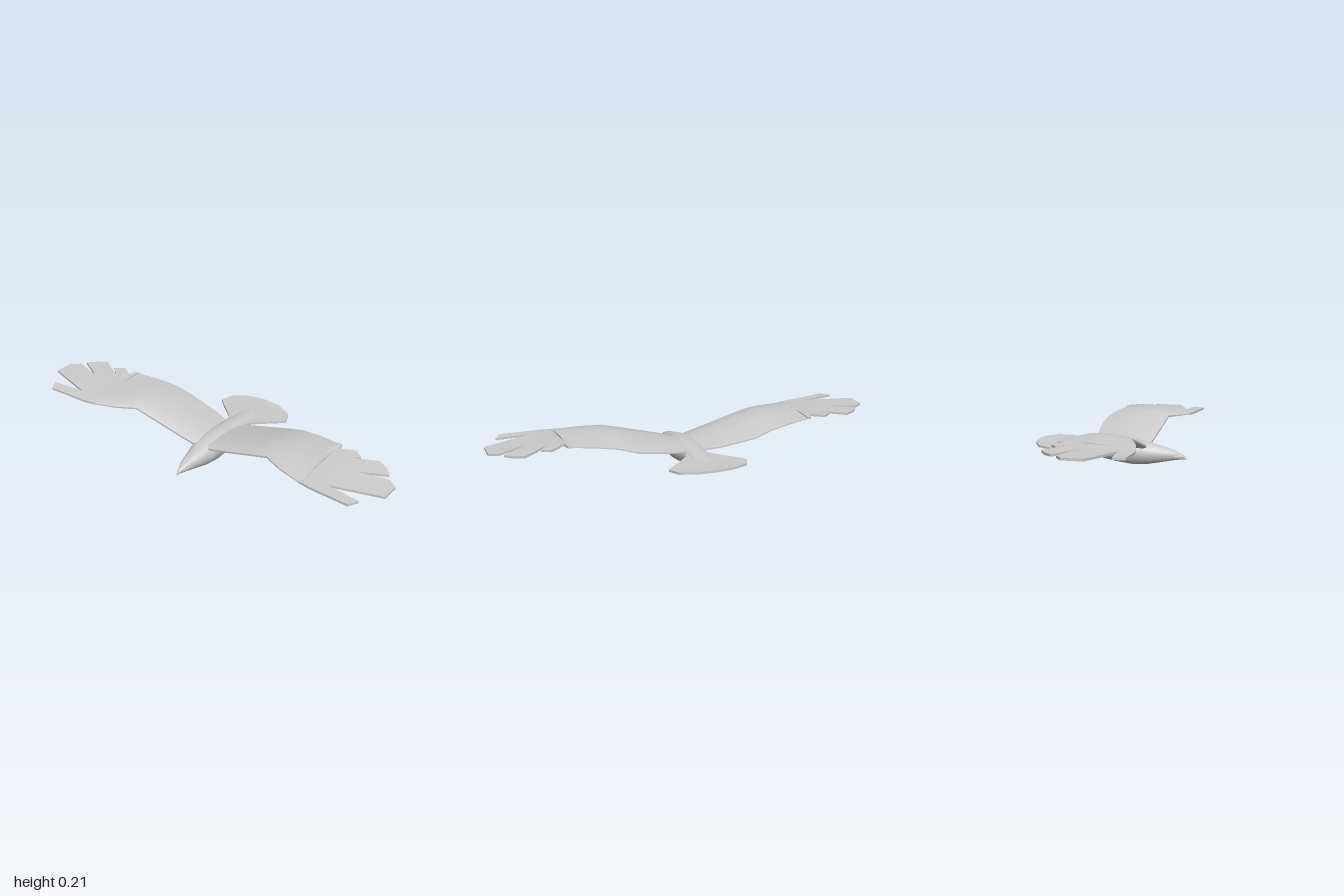
import * as THREE from 'three';
import { toCreasedNormals } from 'three/addons/utils/BufferGeometryUtils.js';

const material = new THREE.MeshStandardMaterial({ color: 0xcccccc });

function part(name, geometry, crease = 0.7) {
  const mesh = new THREE.Mesh(toCreasedNormals(geometry, crease), material);
  mesh.name = name;
  return mesh;
}

// Skin over closed rings of [x, y, z] points, capped at both ends
function loft(rings, flip = false) {
  const n = rings[0].length, last = (rings.length - 1) * n, index = [];
  const tri = (a, b, c) => (flip ? index.push(a, c, b) : index.push(a, b, c));
  for (let i = 0; i < rings.length - 1; i++) {
    for (let j = 0; j < n; j++) {
      const a = i * n + j, b = i * n + (j + 1) % n;
      tri(a, b, a + n);
      tri(b, b + n, a + n);
    }
  }
  for (let j = 1; j < n - 1; j++) {
    tri(0, j + 1, j);
    tri(last, last + j, last + j + 1);
  }
  const geometry = new THREE.BufferGeometry();
  geometry.setAttribute('position', new THREE.Float32BufferAttribute(rings.flat(2), 3));
  geometry.setIndex(index);
  geometry.computeVertexNormals();
  return geometry;
}

// Thin plate from an outline of [x, z], lifted to the height given by rule(x, z)
function plate(outline, thickness, rule) {
  const shape = new THREE.Shape(outline.map(([x, z]) => new THREE.Vector2(x, z)));
  const geometry = new THREE.ExtrudeGeometry(shape, { depth: thickness, bevelEnabled: false });
  geometry.rotateX(Math.PI / 2).translate(0, thickness / 2, 0);
  const p = geometry.attributes.position;
  for (let i = 0; i < p.count; i++) p.setY(i, p.getY(i) + rule(p.getX(i), p.getZ(i)));
  geometry.computeVertexNormals();
  return geometry;
}

// Body stations from tail to beak: z, bottom, top, half width
const bodyStations = [
  [-0.3, 0.09, 0.104, 0.05], [-0.2, 0.07, 0.112, 0.052], [-0.12, 0.048, 0.12, 0.056],
  [-0.05, 0.028, 0.126, 0.064], [0.03, 0.013, 0.13, 0.07], [0.11, 0.002, 0.128, 0.072],
  [0.19, 0.006, 0.113, 0.06], [0.25, 0.017, 0.097, 0.045], [0.31, 0.028, 0.082, 0.029],
  [0.335, 0.032, 0.069, 0.02], [0.362, 0.034, 0.06, 0.01], [0.385, 0.034, 0.037, 0.002],
];

function bodyRing([z, bottom, top, w]) {
  const ring = [], n = 14, soft = v => Math.sign(v) * Math.abs(v) ** 0.8;
  for (let i = 0; i < n; i++) {
    const a = (i / n) * Math.PI * 2;
    ring.push([w * soft(Math.cos(a)), (top + bottom) / 2 + (top - bottom) / 2 * soft(Math.sin(a)), z]);
  }
  return ring;
}

// Wing stations: x, leading z, leading y, trailing z, trailing y, camber, thickness
const wingStations = [
  [0.0, 0.185, 0.09, -0.09, 0.1, 0.005, 0.03],
  [0.06, 0.188, 0.103, -0.092, 0.11, 0.008, 0.032],
  [0.12, 0.192, 0.118, -0.112, 0.118, 0.01, 0.032],
  [0.305, 0.2, 0.167, -0.138, 0.152, 0.018, 0.03],
  [0.4, 0.202, 0.19, -0.127, 0.18, 0.022, 0.026],
  [0.5, 0.245, 0.184, -0.11, 0.194, 0.018, 0.022],
  [0.64, 0.28, 0.176, -0.083, 0.205, 0.012, 0.014],
];

function wingRing([x, z0, y0, z1, y1, camber, t], side) {
  const at = ([u, h]) => [
    side * x,
    y0 + (y1 - y0) * u + camber * Math.sin(Math.PI * u) + h * t,
    z0 + (z1 - z0) * u + side * 0.013 * x,
  ];
  const upper = [[0, 0.15], [0.06, 0.45], [0.3, 0.5], [0.6, 0.38], [1, 0.12]];
  const lower = upper.map(([u, h]) => [u, -h]).reverse();
  return [...upper, ...lower].map(at);
}

// Outer wing with its spread feathers, from the leading edge round to the inner edge
const handOutline = [
  [0.62, 0.274], [0.69, 0.287], [0.895, 0.3], [0.923, 0.248], [0.75, 0.228],
  [1, 0.147], [1, 0.048], [0.953, 0.015], [0.805, 0.066],
  [0.935, -0.015], [0.9, -0.055], [0.847, -0.085], [0.715, 0],
  [0.765, -0.05], [0.72, -0.083], [0.65, -0.04], [0.642, -0.083],
  [0.62, -0.085], [0.62, 0], [0.62, 0.1], [0.62, 0.2],
];

function handHeight(x, z, side) {
  const t = Math.max(0, (Math.abs(x) - 0.64) / 0.36);
  const u = THREE.MathUtils.clamp((0.28 - z) / 0.363, 0, 1);
  const base = 0.176 + 0.029 * u + 0.012 * Math.sin(Math.PI * u);
  return base + (0.184 - base) * t - side * 0.015 * t;
}

function createWing(side) {
  const wing = new THREE.Group();
  wing.name = side > 0 ? 'leftWing' : 'rightWing';
  wing.add(part('innerWing', loft(wingStations.map(s => wingRing(s, side)), side > 0)));
  const outline = handOutline.map(([x, z]) => [side * x, z + side * 0.013 * x]);
  wing.add(part('flightFeathers', plate(outline, 0.011, (x, z) => handHeight(x, z, side)), 0.5));
  return wing;
}

// Half of the fan tail, from root to centre tip: x, z
const tailHalf = [
  [0.052, -0.1], [0.065, -0.14], [0.1, -0.175], [0.15, -0.22], [0.203, -0.27],
  [0.175, -0.335], [0.09, -0.375],
];

export function createModel() {
  const bird = new THREE.Group();
  bird.name = 'bird';
  bird.add(part('body', loft(bodyStations.map(bodyRing)), 0.9));
  bird.add(createWing(1), createWing(-1));

  const mirrored = tailHalf.map(([x, z]) => [-x, z]).reverse();
  const tail = plate([...tailHalf, [0, -0.385], ...mirrored], 0.011,
    (x, z) => 0.097 + 0.02 * Math.max(0, -z - 0.28) / 0.3 + 0.004 * Math.cos(x * 8));
  bird.add(part('tailFan', tail, 0.5));
  return bird;
}
